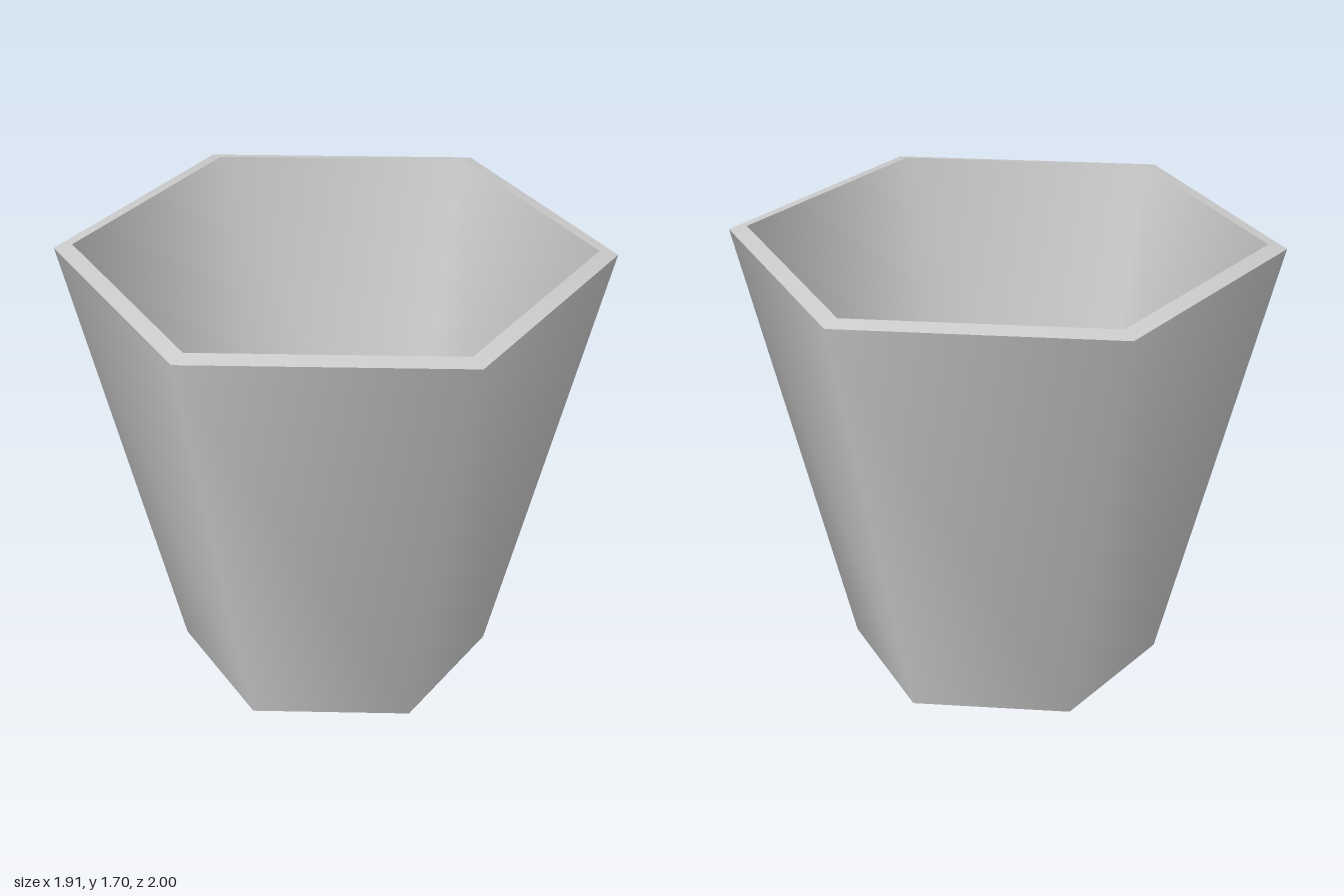
import * as THREE from 'three';

const SIDES = 6;
const TURN = THREE.MathUtils.degToRad(-10);

export function createModel() {
  const pot = new THREE.Group();
  pot.name = 'hexagonalPot';

  const grey = new THREE.MeshStandardMaterial({ color: 0xcccccc });
  grey.name = 'light grey';

  // One band of the pot, turned around y between two [radius, height] points
  function band(name, from, to) {
    const profile = [new THREE.Vector2(...from), new THREE.Vector2(...to)];
    const mesh = new THREE.Mesh(new THREE.LatheGeometry(profile, SIDES, TURN), grey);
    mesh.name = name;
    pot.add(mesh);
  }

  // Profile corners
  const outerFoot = [0.59, 0];
  const outerLip = [1.0154, 1.68];
  const innerLip = [0.948, 1.695];
  const innerFoot = [0.538, 0.065];

  // Separate bands keep the lip and floor sharp, the walls smooth
  band('base', [0, 0], outerFoot);
  band('outerWall', outerFoot, outerLip);
  band('rim', outerLip, innerLip);
  band('innerWall', innerLip, innerFoot);
  band('floor', innerFoot, [0, innerFoot[1]]);

  return pot;
}
